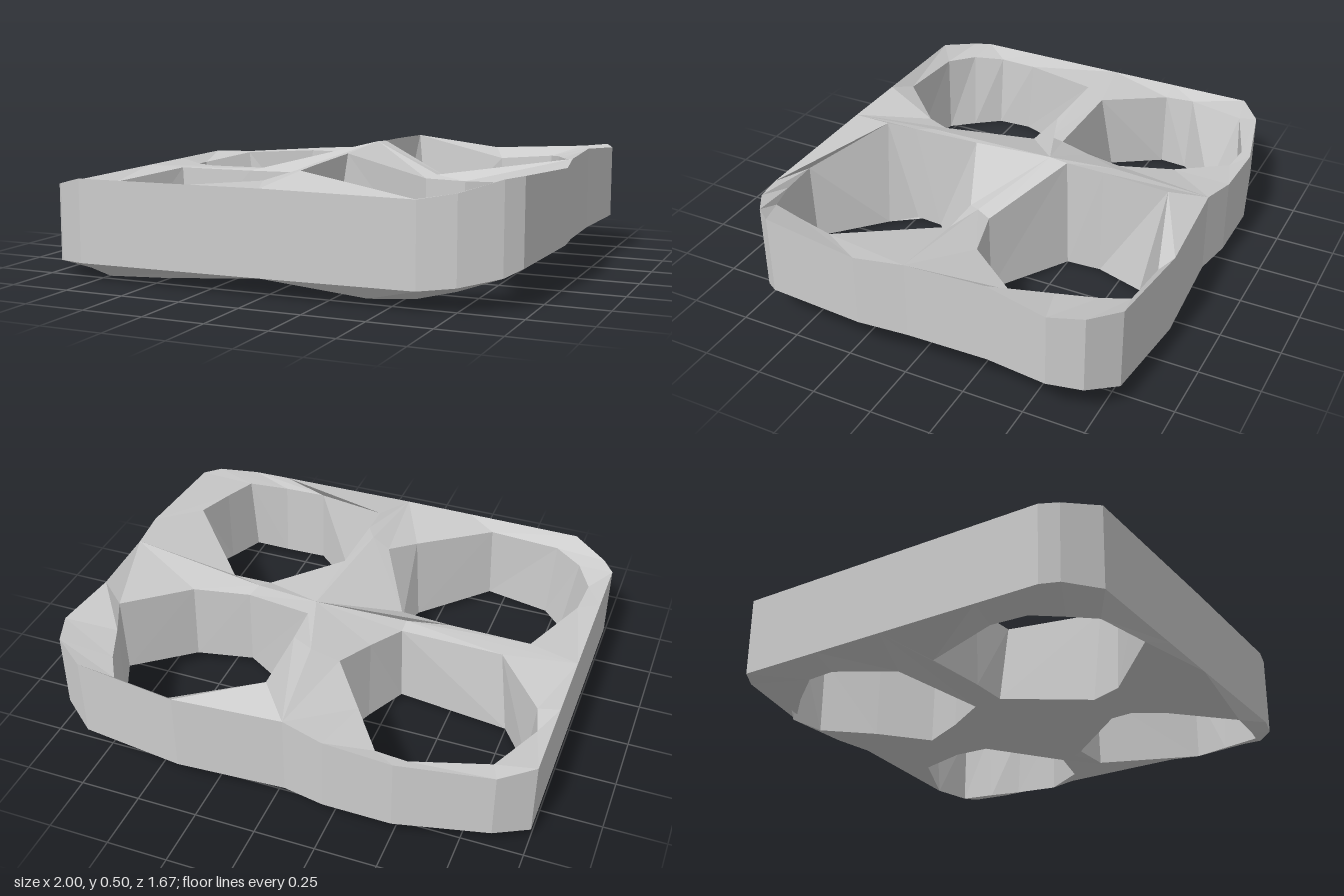
import * as THREE from 'three';

// Piecewise-linear height profiles along x
const TOP = [[-1, 0.36], [-0.8, 0.41], [0.55, 0.42], [0.95, 0.49], [1, 0.47]];
const RIM_BOTTOM = [[-1, 0.04], [-0.9, 0.07], [0.6, 0.08], [0.87, 0.11], [0.95, 0.15], [1, 0.17]];
const UNDERSIDE = [[-1, 0.02], [-0.9, 0], [-0.35, 0.04], [-0.03, 0], [0.3, 0.03], [0.55, 0.03], [0.87, 0.1], [1, 0.13]];
// Extra height along z of the ridge on the front-to-back bar
const RIDGE = [[-0.84, 0], [-0.81, 0.01], [-0.68, 0.062], [-0.16, 0.083], [0.62, 0.045], [0.83, 0]];
const RIM_DROP = 0.045;

function along(profile, x) {
  for (let i = 1; i < profile.length; i++) {
    const [x0, y0] = profile[i - 1], [x1, y1] = profile[i];
    if (x <= x1) return y0 + ((y1 - y0) * (x - x0)) / (x1 - x0);
  }
  return profile[profile.length - 1][1];
}

// Top height with the ridge; the drop fades out towards the ridge
function topHeight(x, z, drop) {
  const onRidge = Math.max(0, 1 - Math.abs(x - 0.07) / 0.31);
  return along(TOP, x) + onRidge * along(RIDGE, z) - drop * (1 - onRidge);
}

// Shared points of the cross, [x, z, drop]: hub, bar middles and bar ends
const HUB = [0.07, -0.16];
const EAST = [[0.4, 0, 0.03], [0.97, 0]], WEST = [[-0.27, 0, 0.035], [-1, 0]];
const NORTH = [[-0.01, -0.42], [-0.05, -0.81]], SOUTH = [[0.03, 0.42], [0, 0.83]];

// One quarter of the frame: a closed ring of surface around one hole.
// outline: outer corner points [x, z, drop]; hole rows: [top x, top z, floor x, floor z]
function makeCell(name, barX, barZ, outline, hole, material) {
  const edge = [HUB, ...barX, ...outline, barZ[1], barZ[0]];
  const n = edge.length;
  const flip = barX[1][0] * barZ[1][1] > 0;
  const pos = [];
  const quad = (a, b, c, d) => {
    const tris = flip ? [a, c, b, a, d, c] : [a, b, c, a, c, d];
    tris.forEach((p) => pos.push(...p));
  };
  const edgeTop = edge.map(([x, z, drop = 0]) => [x, topHeight(x, z, drop), z]);
  const edgeBottom = edge.map(([x, z], i) =>
    [x, along(i >= 2 && i <= n - 2 ? RIM_BOTTOM : UNDERSIDE, x), z]);
  const holeTop = hole.map(([x, z]) => [x, topHeight(x, z, RIM_DROP), z]);
  const holeBottom = hole.map(([, , x, z]) => [x, along(UNDERSIDE, x), z]);

  for (let i = 0; i < n; i++) {
    const j = (i + 1) % n;
    quad(edgeTop[i], edgeTop[j], holeTop[j], holeTop[i]);
    quad(holeTop[i], holeTop[j], holeBottom[j], holeBottom[i]);
    quad(holeBottom[i], holeBottom[j], edgeBottom[j], edgeBottom[i]);
    // Outer wall only along the outside of the frame
    if (i >= 2 && i < n - 2) quad(edgeBottom[i], edgeBottom[j], edgeTop[j], edgeTop[i]);
  }
  const geometry = new THREE.BufferGeometry();
  geometry.setAttribute('position', new THREE.Float32BufferAttribute(pos, 3));
  geometry.computeVertexNormals();
  const mesh = new THREE.Mesh(geometry, material);
  mesh.name = name;
  return mesh;
}

export function createModel() {
  const group = new THREE.Group();
  group.name = 'fourHoleFrame';
  const material = new THREE.MeshStandardMaterial({ color: 0xcccccc, flatShading: true });

  group.add(makeCell('backLeftCell', EAST, NORTH,
    [[0.955, -0.33], [1, -0.59], [0.95, -0.72, 0.02], [0.82, -0.81, 0.02], [0.4, -0.84]],
    [[0.075, -0.24, 0.08, -0.255], [0.42, -0.06, 0.42, -0.065], [0.65, -0.13, 0.65, -0.14],
      [0.87, -0.38, 0.86, -0.38], [0.8, -0.53, 0.79, -0.54], [0.74, -0.68, 0.72, -0.65],
      [0.68, -0.78, 0.66, -0.77], [0.44, -0.79, 0.45, -0.77], [0.07, -0.68, 0.14, -0.61],
      [0.07, -0.4, 0.07, -0.4]], material));

  group.add(makeCell('frontLeftCell', EAST, SOUTH,
    [[1, 0.2], [0.955, 0.62], [0.9, 0.69], [0.76, 0.79, 0.02], [0.62, 0.83, 0.02]],
    [[0.075, 0.18, 0.08, 0.37], [0.37, 0.05, 0.37, 0.055], [0.54, 0.05, 0.54, 0.06],
      [0.86, 0.4, 0.86, 0.4], [0.81, 0.57, 0.8, 0.56], [0.76, 0.72, 0.74, 0.73],
      [0.6, 0.78, 0.6, 0.77], [0.42, 0.8, 0.42, 0.79], [0.07, 0.62, 0.17, 0.58],
      [0.07, 0.48, 0.07, 0.49]], material));

  group.add(makeCell('frontRightCell', WEST, SOUTH,
    [[-1, 0.42], [-1, 0.68], [-0.95, 0.74], [-0.8, 0.83], [-0.3, 0.83]],
    [[-0.23, 0.06, -0.29, 0.06], [-0.45, 0.05, -0.45, 0.06], [-0.79, 0.05, -0.76, 0.07],
      [-0.91, 0.4, -0.9, 0.42], [-0.92, 0.57, -0.89, 0.57], [-0.85, 0.69, -0.8, 0.67],
      [-0.73, 0.77, -0.71, 0.76], [-0.42, 0.79, -0.43, 0.79], [-0.14, 0.53, -0.16, 0.53],
      [-0.05, 0.4, -0.12, 0.4]], material));

  group.add(makeCell('backRightCell', WEST, NORTH,
    [[-1, -0.3], [-1, -0.65], [-0.87, -0.75, 0.04], [-0.5, -0.84, 0.035], [-0.22, -0.84, 0.02]],
    [[-0.19, -0.22, -0.19, -0.23], [-0.27, -0.06, -0.28, -0.065], [-0.7, -0.06, -0.75, -0.1],
      [-0.91, -0.3, -0.9, -0.3], [-0.94, -0.42, -0.89, -0.42], [-0.84, -0.68, -0.75, -0.59],
      [-0.54, -0.79, -0.59, -0.77], [-0.41, -0.78, -0.42, -0.77], [-0.27, -0.58, -0.27, -0.585],
      [-0.12, -0.39, -0.12, -0.4]], material));

  return group;
}
